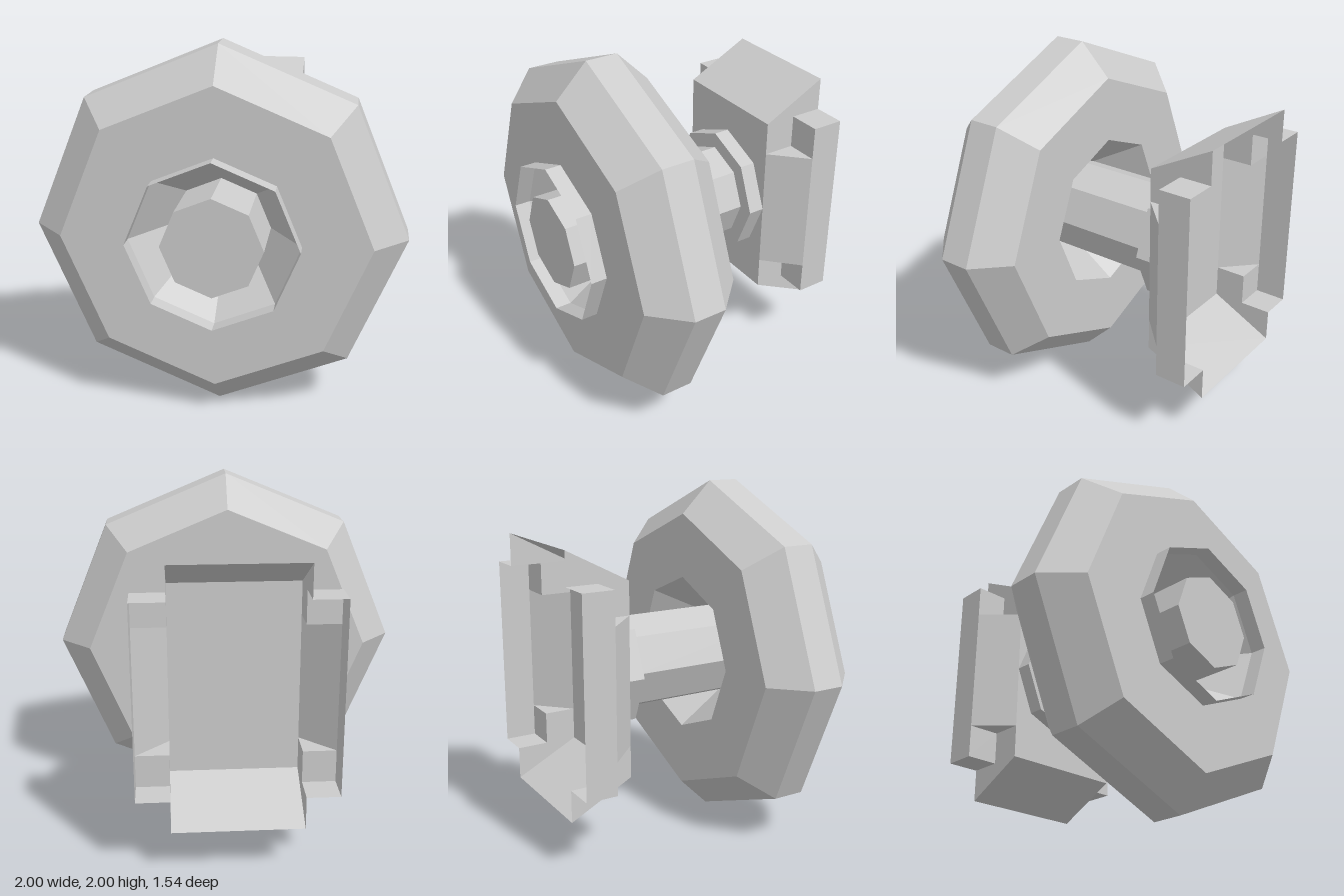
import * as THREE from 'three';

const AXIS_Y = 1;

const grey = () => new THREE.MeshStandardMaterial({
  color: 0xcccccc, flatShading: true, side: THREE.DoubleSide,
});

// Eight-sided turned part along z; profile is [radius, z] pairs
function turned(name, profile) {
  const points = profile.map(([r, z]) => new THREE.Vector2(r, z));
  const geometry = new THREE.LatheGeometry(points, 8).rotateX(Math.PI / 2).toNonIndexed();
  geometry.computeVertexNormals();
  const mesh = new THREE.Mesh(geometry, grey());
  mesh.name = name;
  mesh.position.y = AXIS_Y;
  return mesh;
}

// Flat convex panel, wound so that it faces away from the middle of the bracket
function panel(name, corners) {
  let p = corners.map((c) => new THREE.Vector3(...c));
  const normal = p[1].clone().sub(p[0]).cross(p[2].clone().sub(p[0]));
  const outward = p[0].clone().sub(new THREE.Vector3(0, 0, -0.77));
  if (normal.dot(outward) < 0) p.reverse();
  const triangles = [];
  for (let i = 1; i < p.length - 1; i++) triangles.push(p[0], p[i], p[i + 1]);
  const geometry = new THREE.BufferGeometry().setFromPoints(triangles);
  geometry.computeVertexNormals();
  const mesh = new THREE.Mesh(geometry, grey());
  mesh.name = name;
  return mesh;
}

// Hollow bracket, open at the back
function createBracket() {
  const bracket = new THREE.Group();
  bracket.name = 'bracket';
  bracket.position.y = AXIS_Y;
  const x1 = 0.36, x2 = 0.545;
  const y1 = 0.36, y2 = 0.545, y3 = 0.73;
  const z1 = -0.41, z2 = -0.59, z3 = -0.77;
  const add = (name, ...corners) => bracket.add(panel(name, corners));

  add('bracketPlate', [-x1, -y2, z1], [x1, -y2, z1], [x1, y2, z1], [-x1, y2, z1]);
  for (const t of [1, -1]) {
    add('slopedFlap', [-x1, t * y2, z1], [x1, t * y2, z1], [x1, t * y3, z3], [-x1, t * y3, z3]);
  }

  for (const s of [1, -1]) {
    const a = s * x1, b = s * x2;
    // Middle of each side
    add('sideRamp', [a, -y1, z1], [b, -y1, z2], [b, y1, z2], [a, y1, z1]);
    add('sideWall', [b, -y2, z2], [b, -y2, z3], [b, y2, z3], [b, y2, z2]);
    // Stepped corners
    for (const t of [1, -1]) {
      const c = t * y1, d = t * y2, e = t * y3;
      add('cheek', [a, c, z1], [a, d, z1], [a, d, z2], [a, c, z2]);
      add('flapCheek', [a, d, z1], [a, e, z3], [a, d, z3]);
      add('rampEnd', [a, c, z1], [a, c, z2], [b, c, z2]);
      add('cornerFront', [a, c, z2], [b, c, z2], [b, d, z2], [a, d, z2]);
      add('cornerEnd', [a, d, z2], [b, d, z2], [b, d, z3], [a, d, z3]);
    }
  }
  return bracket;
}

export function createModel() {
  const model = new THREE.Group();
  model.name = 'wheelAssembly';

  // Wheel with chamfered tread and a hub bore that narrows to the axle
  model.add(turned('wheel', [
    [0.27, 0.41], [0.455, 0.14], [0.82, 0.14], [1, 0.32], [1, 0.5],
    [0.82, 0.68], [0.455, 0.68], [0.27, 0.41],
  ]));

  // Thin raised rim round the front of the bore
  model.add(turned('hubRim', [[0.455, 0.68], [0.455, 0.77]]));

  // Axle and its collar
  model.add(turned('axle', [[0.27, -0.32], [0.27, 0.77], [0, 0.77]]));
  model.add(turned('collar', [[0.36, -0.41], [0.36, -0.32], [0.27, -0.32]]));

  model.add(createBracket());
  return model;
}
